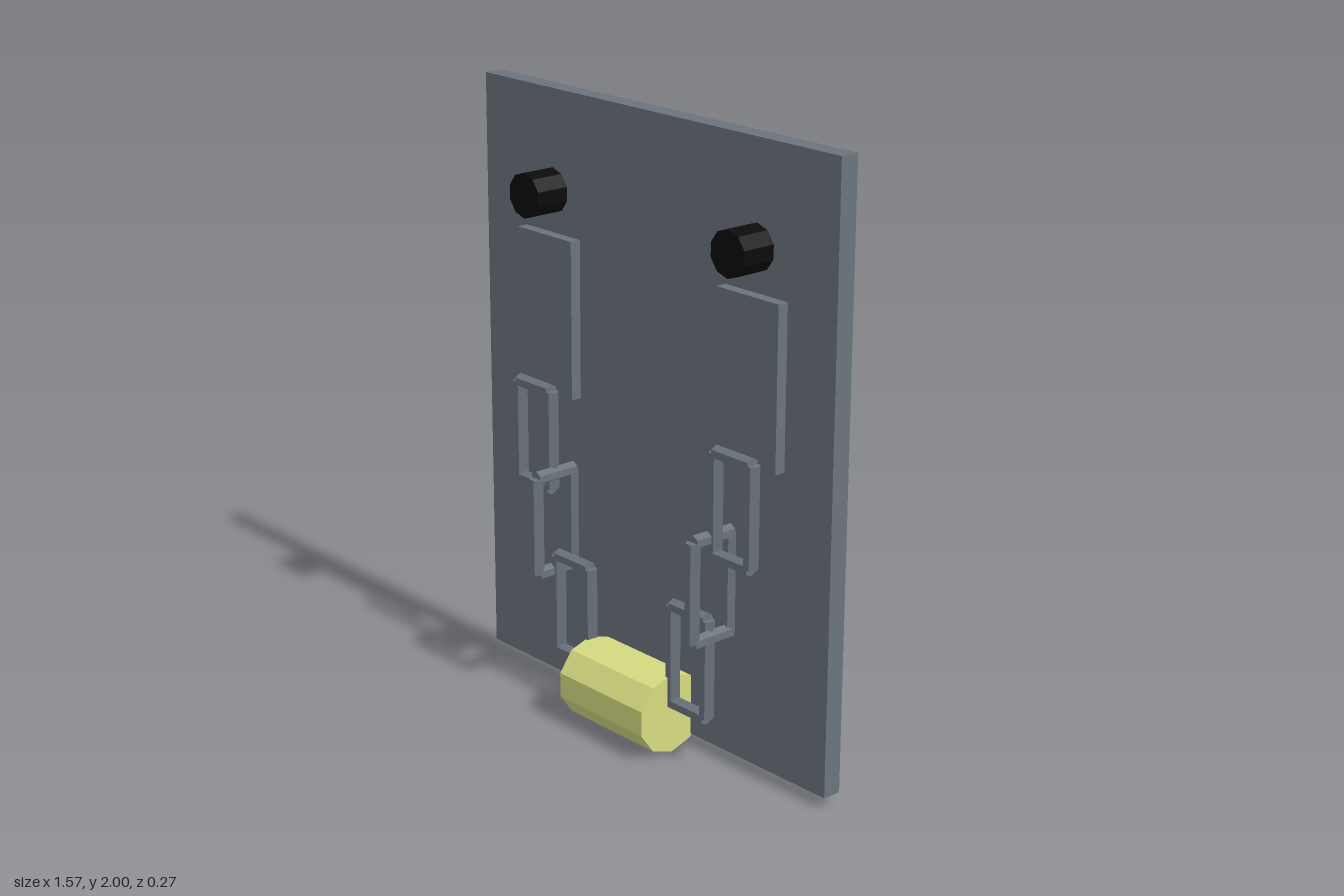
import * as THREE from 'three';

const mat = (name, color) => {
  const m = new THREE.MeshStandardMaterial({ color, flatShading: true });
  m.name = name;
  return m;
};

export function createModel() {
  const root = new THREE.Group();
  root.name = 'chainPanel';
  const steel = mat('slateGrey', 0x6a747d);
  const yellow = mat('paleYellow', 0xd6dc82);
  const black = mat('black', 0x0b0b0b);

  const add = (parent, name, geo, material, x, y, z) => {
    const mesh = new THREE.Mesh(geo, material);
    mesh.name = name;
    mesh.position.set(x, y, z);
    parent.add(mesh);
    return mesh;
  };

  // back panel
  add(root, 'panel', new THREE.BoxGeometry(1.574, 1.963, 0.064), steel, 0, 1.0185, -0.105);

  // ten-sided roller lying across the bottom
  const roller = new THREE.CylinderGeometry(0.133, 0.133, 0.392, 10, 1, false, Math.PI / 2);
  roller.rotateZ(Math.PI / 2);
  add(root, 'roller', roller, yellow, 0, 0.133, 0.008);

  // hexagonal bar along one axis; upright bars point their edges sideways, others up and down
  const bar = (axis, length) => {
    const start = axis === 'z' ? 0 : Math.PI / 2;
    const geo = new THREE.CylinderGeometry(0.0235, 0.0235, length, 6, 1, false, start);
    if (axis === 'x') geo.rotateZ(Math.PI / 2);
    if (axis === 'z') geo.rotateX(Math.PI / 2);
    return geo;
  };

  // rectangular chain link of four bars, spread along x or z
  const W = 0.155, H = 0.327;
  const link = (parent, name, axis, x, y, z) => {
    const g = new THREE.Group();
    g.name = name;
    g.position.set(x, y, z);
    for (const s of [-1, 1]) {
      const d = s * W / 2;
      add(g, 'uprightBar', bar('y', H), steel, axis === 'x' ? d : 0, 0, axis === 'z' ? d : 0);
      add(g, 'crossBar', bar(axis, W), steel, 0, s * H / 2, 0);
    }
    parent.add(g);
  };

  for (const [side, s] of [['left', 1], ['right', -1]]) {
    const half = new THREE.Group();
    half.name = side + 'Side';
    root.add(half);
    // knob and mounting plate
    const knob = new THREE.CylinderGeometry(0.073, 0.073, 0.116, 10);
    knob.rotateX(Math.PI / 2);
    add(half, 'knob', knob, black, s * 0.459, 1.676, -0.015);
    add(half, 'mountingPlate', new THREE.BoxGeometry(0.26, 0.518, 0.038), steel, s * 0.46, 1.281, -0.055);
    // chain
    link(half, 'upperLink', 'x', s * 0.46, 0.886, 0.006);
    link(half, 'middleLink', 'z', s * 0.368, 0.613, 0.006);
    link(half, 'lowerLink', 'x', s * 0.275, 0.336, 0.006);
  }
  return root;
}
